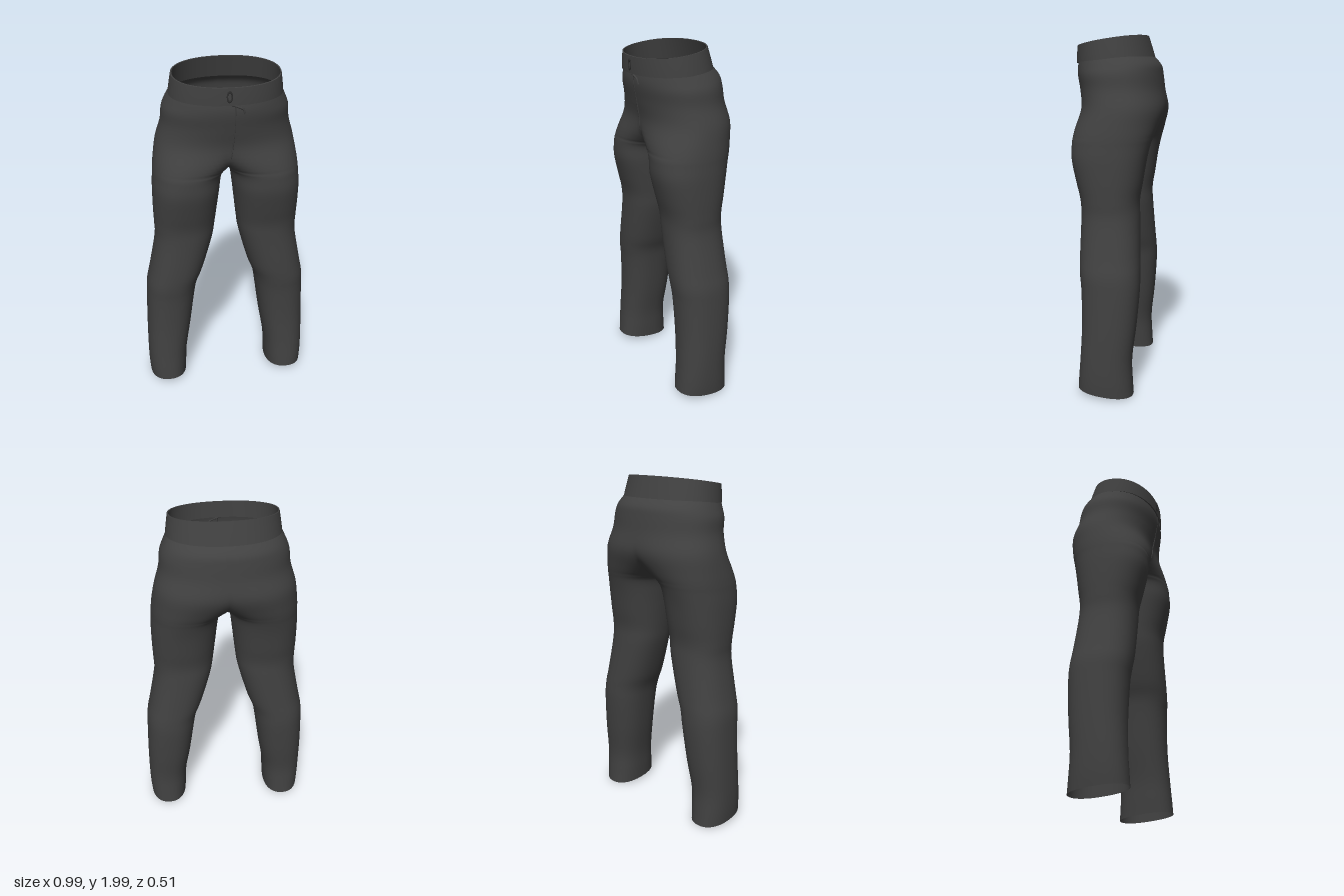
import * as THREE from 'three';
import { mergeVertices, toCreasedNormals } from 'three/addons/utils/BufferGeometryUtils.js';

// Cross-sections of one half: y, inner x, outer x, front z, back z, tilt (dy per z), squareness
const BODY = [
  [0.02, 0.265, 0.490, 0.185, -0.130, 0.10, 2.3],
  [0.10, 0.260, 0.495, 0.180, -0.124, 0.06, 2.3],
  [0.22, 0.252, 0.496, 0.172, -0.120, 0, 2.3],
  [0.40, 0.222, 0.492, 0.165, -0.140, 0, 2.3],
  [0.60, 0.194, 0.484, 0.170, -0.155, 0, 2.3],
  [0.70, 0.176, 0.477, 0.180, -0.155, 0, 2.3],
  [0.80, 0.138, 0.456, 0.185, -0.150, 0, 2.3],
  [1.00, 0.082, 0.418, 0.186, -0.140, 0, 2.3],
  [1.10, 0.066, 0.417, 0.191, -0.137, 0, 2.3],
  [1.20, 0.054, 0.419, 0.215, -0.153, 0, 2.3],
  [1.32, 0.040, 0.418, 0.242, -0.172, 0, 2.3],
  [1.40, 0.027, 0.413, 0.245, -0.190, 0, 2.2],
  [1.44, 0.000, 0.410, 0.243, -0.202, 0, 2.2],
  [1.50, -0.085, 0.402, 0.235, -0.222, 0, 2.2],
  [1.60, -0.250, 0.384, 0.217, -0.250, 0, 2.2],
  [1.70, -0.340, 0.354, 0.233, -0.237, -0.01, 2.2],
  [1.78, -0.345, 0.345, 0.247, -0.227, -0.03, 2.2],
  [1.83, -0.326, 0.326, 0.250, -0.215, -0.05, 2.2],
  [1.875, -0.304, 0.304, 0.245, -0.174, -0.07, 2.2],
];

// Waistband: under-lip, outside, top edge, inside
const BAND = [
  [1.868, -0.296, 0.296, 0.238, -0.166, -0.07, 2.2],
  [1.866, -0.308, 0.308, 0.255, -0.180, -0.07, 2.2],
  [1.920, -0.301, 0.301, 0.255, -0.162, -0.11, 2.2],
  [1.978, -0.292, 0.292, 0.252, -0.142, -0.154, 2.2],
  [1.978, -0.285, 0.285, 0.245, -0.135, -0.154, 2.2],
  [1.868, -0.296, 0.296, 0.238, -0.166, -0.07, 2.2],
];

// Catmull-Rom rows between the key sections
function refine(keys, steps) {
  const rows = [];
  const at = (i) => keys[Math.min(Math.max(i, 0), keys.length - 1)];
  for (let i = 0; i < keys.length - 1; i++) {
    for (let s = 0; s < steps; s++) {
      const t = s / steps;
      rows.push(keys[i].map((b, k) => {
        const a = at(i - 1)[k], c = at(i + 1)[k], d = at(i + 2)[k];
        return b + 0.5 * t * (c - a + t * (2 * a - 5 * b + 4 * c - d + t * (3 * (b - c) + d - a)));
      }));
    }
  }
  rows.push(keys[keys.length - 1]);
  return rows;
}

const spow = (v, p) => Math.sign(v) * Math.pow(Math.abs(v), p);

// Loft both mirrored halves; above the crotch each ring opens into an arc ending on x = 0
function loft(rows, cols) {
  const pos = [], index = [];
  for (const side of [1, -1]) {
    const base = pos.length / 3;
    rows.forEach(([y, xin, xout, zf, zb, tilt, n]) => {
      const xc = (xin + xout) / 2, rx = (xout - xin) / 2;
      const zc = (zf + zb) / 2, rz = (zf - zb) / 2;
      const open = xin < 0;
      const end = open ? Math.acos(spow(-xc / rx, n / 2)) : Math.PI;
      for (let j = 0; j <= cols; j++) {
        const a = end * (2 * j / cols - 1);
        let x = xc + rx * spow(Math.cos(a), 2 / n);
        if (open && (j === 0 || j === cols)) x = 0;
        const z = zc + rz * spow(Math.sin(a), 2 / n);
        pos.push(side * x, y + tilt * z, z);
      }
    });
    const w = cols + 1;
    for (let i = 0; i < rows.length - 1; i++) {
      for (let j = 0; j < cols; j++) {
        const a = base + i * w + j, b = a + 1, c = a + w, d = c + 1;
        if (side > 0) index.push(a, c, b, b, c, d);
        else index.push(a, b, c, b, d, c);
      }
    }
  }
  let g = new THREE.BufferGeometry();
  g.setAttribute('position', new THREE.Float32BufferAttribute(pos, 3));
  g.setIndex(index);
  g = mergeVertices(g, 1e-5);
  g.computeVertexNormals();
  return g;
}

// Front surface depth of the body at (x, y)
function frontZ(x, y) {
  const i = Math.max(1, BODY.findIndex((k) => k[0] >= y));
  const t = (y - BODY[i - 1][0]) / (BODY[i][0] - BODY[i - 1][0]);
  const [, xin, xout, zf, zb, , n] = BODY[i].map((v, k) => BODY[i - 1][k] + (v - BODY[i - 1][k]) * t);
  const u = Math.abs((x - (xin + xout) / 2) / ((xout - xin) / 2));
  return (zf + zb) / 2 + (zf - zb) / 2 * Math.pow(1 - Math.pow(u, n), 1 / n);
}

export function createModel() {
  const group = new THREE.Group();
  const cloth = new THREE.MeshStandardMaterial({ color: 0x414141, side: THREE.DoubleSide });
  cloth.name = 'charcoal cloth';
  const trim = new THREE.MeshStandardMaterial({ color: 0x303030, side: THREE.DoubleSide });
  trim.name = 'dark trim';

  const add = (name, geometry, material) => {
    const mesh = new THREE.Mesh(geometry, material);
    mesh.name = name;
    group.add(mesh);
    return mesh;
  };

  // Legs and seat in one skin, open at hems and waist
  add('legsAndSeat', loft(refine(BODY, 4), 40), cloth);
  add('waistband', toCreasedNormals(loft(BAND, 40), 0.7), cloth);

  // Fly seam down the front
  const seam = [];
  for (let i = 0; i <= 10; i++) {
    const y = 1.845 - 0.031 * i;
    const x = 0.016 * (1 - Math.pow(i / 10, 3));
    seam.push(new THREE.Vector3(x, y, frontZ(x, y) - 0.001));
  }
  add('flySeam', new THREE.TubeGeometry(new THREE.CatmullRomCurve3(seam), 30, 0.004, 6), cloth);

  // Small fastening loop on the band
  const loop = add('fasteningLoop', new THREE.TorusGeometry(0.014, 0.004, 6, 16), trim);
  loop.scale.set(0.9, 1.8, 1);
  loop.position.set(-0.016, 1.895, 0.256);

  // Loose tie end under the band
  const tie = [[-0.01, 1.853], [0.03, 1.838], [0.055, 1.825], [0.065, 1.80]].map(
    ([x, y]) => new THREE.Vector3(x, y, frontZ(x, y) + 0.002));
  add('tieEnd', new THREE.TubeGeometry(new THREE.CatmullRomCurve3(tie), 16, 0.006, 6), cloth);

  return group;
}
